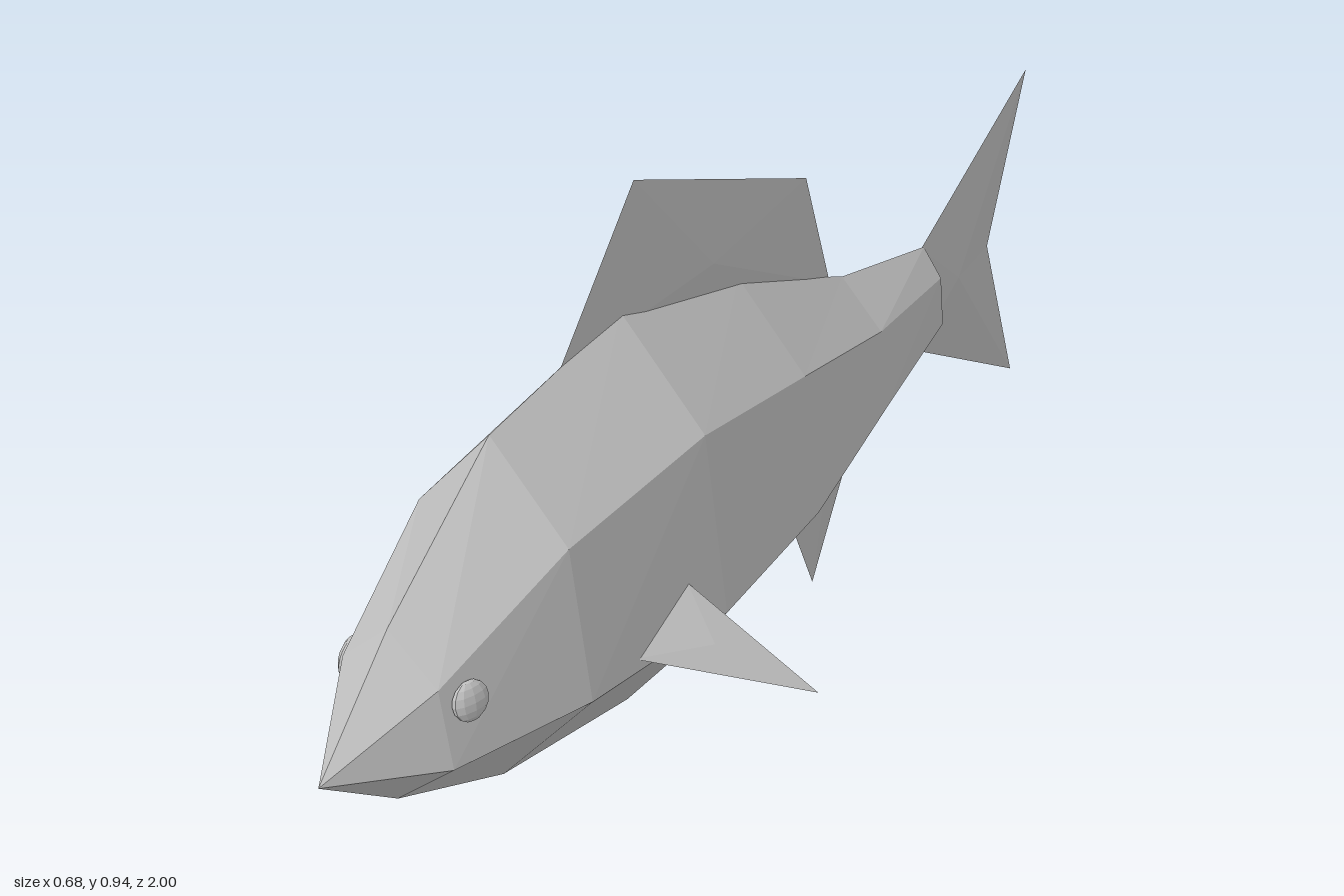
import * as THREE from 'three';

const grey = new THREE.MeshStandardMaterial({ color: 0xc0c0c0, flatShading: true });
grey.name = 'fish grey';

function meshFrom(name, triangles) {
  const geometry = new THREE.BufferGeometry().setFromPoints(triangles);
  geometry.computeVertexNormals();
  const mesh = new THREE.Mesh(geometry, grey);
  mesh.name = name;
  return mesh;
}

const vec = (x, y, z) => new THREE.Vector3(x, y, z);

// Body: six-sided rings from snout to tail root
// [z, top y, shoulder x, shoulder y, flank x, flank y, belly y]
const sections = [
  [1.00, 0.36, 0, 0.36, 0, 0.36, 0.36],
  [0.84, 0.52, 0.08, 0.45, 0.10, 0.33, 0.245],
  [0.60, 0.70, 0.127, 0.56, 0.16, 0.323, 0.14],
  [0.28, 0.75, 0.143, 0.59, 0.18, 0.303, 0.085],
  [-0.04, 0.67, 0.12, 0.535, 0.148, 0.303, 0.12],
  [-0.36, 0.54, 0.075, 0.46, 0.09, 0.325, 0.225],
  [-0.64, 0.48, 0.035, 0.43, 0.042, 0.345, 0.285],
];

function body() {
  const rings = sections.map(([z, top, sx, sy, fx, fy, belly]) => [
    vec(0, top, z), vec(sx, sy, z), vec(fx, fy, z),
    vec(0, belly, z), vec(-fx, fy, z), vec(-sx, sy, z),
  ]);
  const tris = [];
  for (let i = 0; i < rings.length - 1; i++) {
    for (let j = 0; j < 6; j++) {
      const k = (j + 1) % 6;
      const a = rings[i][j], b = rings[i][k], c = rings[i + 1][k], d = rings[i + 1][j];
      if (i > 0) tris.push(a, b, d);
      tris.push(b, c, d);
    }
  }
  // Flat cap at the tail root
  const end = rings[rings.length - 1];
  for (let j = 1; j < 5; j++) tris.push(end[0], end[j], end[j + 1]);
  return meshFrom('body', tris);
}

// Fin: sharp outline with a ridge point raised on both sides
function fin(name, outline, centre, halfThickness) {
  const normal = vec(0, 0, 0);
  outline.forEach((p, i) => {
    const q = outline[(i + 1) % outline.length];
    normal.add(p.clone().sub(centre).cross(q.clone().sub(centre)));
  });
  normal.normalize();
  const near = centre.clone().addScaledVector(normal, halfThickness);
  const far = centre.clone().addScaledVector(normal, -halfThickness);
  const tris = [];
  outline.forEach((p, i) => {
    const q = outline[(i + 1) % outline.length];
    tris.push(p, q, near, q, p, far);
  });
  return meshFrom(name, tris);
}

const profile = (points) => points.map(([z, y]) => vec(0, y, z));

export function createModel() {
  const fish = new THREE.Group();
  fish.name = 'fish';
  fish.add(body());

  // Fins on the centre line
  fish.add(fin('dorsalFin',
    profile([[0.435, 0.72], [0.24, 0.94], [-0.24, 0.76], [-0.32, 0.545]]),
    vec(0, 0.735, 0.05), 0.013));
  fish.add(fin('tailFin',
    profile([[-0.63, 0.48], [-1, 0.68], [-0.88, 0.385], [-1, 0.085], [-0.63, 0.285]]),
    vec(0, 0.38, -0.75), 0.013));
  fish.add(fin('analFin',
    profile([[-0.19, 0.185], [-0.28, 0], [-0.44, 0.27]]),
    vec(0, 0.15, -0.3), 0.007));

  // Paired fins and eyes
  for (const [side, s] of [['left', 1], ['right', -1]]) {
    fish.add(fin(side + 'PectoralFin',
      [vec(s * 0.16, 0.335, 0.495), vec(s * 0.162, 0.392, 0.36), vec(s * 0.34, 0.222, 0.285)],
      vec(s * 0.22, 0.316, 0.38), 0.004));

    const eye = new THREE.Mesh(new THREE.SphereGeometry(0.03, 10, 8), grey);
    eye.name = side + 'Eye';
    eye.scale.x = 0.4;
    eye.position.set(s * 0.102, 0.42, 0.80);
    eye.rotation.set(0, -s * 0.25, s * 0.15);
    fish.add(eye);
  }
  return fish;
}
